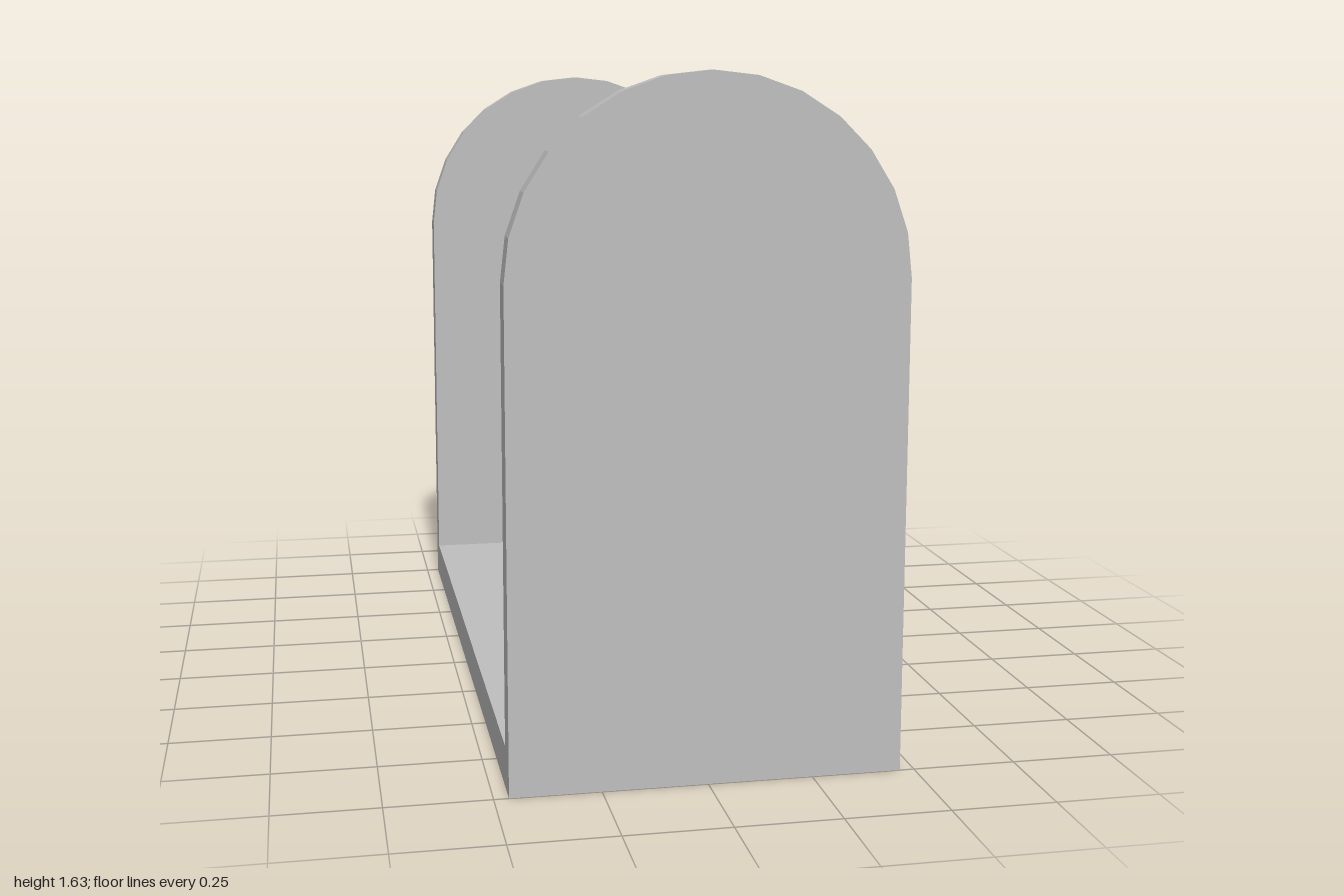
import * as THREE from 'three';

const HALF_WIDTH = 0.465;
const SPRING = 1.17; // height where the arch begins
const WALL = 0.067;
const FLOOR = 0.1;

export function createModel() {
  const group = new THREE.Group();
  group.name = 'cradle';
  const grey = new THREE.MeshStandardMaterial({ color: 0xbfbfbf, name: 'grey', flatShading: true });

  // Upright panel with a faceted semicircular top
  const outline = new THREE.Shape();
  outline.moveTo(-HALF_WIDTH, 0);
  outline.lineTo(HALF_WIDTH, 0);
  outline.lineTo(HALF_WIDTH, SPRING);
  outline.absarc(0, SPRING, HALF_WIDTH, 0, Math.PI, false);
  outline.closePath();
  const panel = new THREE.ExtrudeGeometry(outline, {
    depth: WALL, bevelEnabled: false, curveSegments: 7,
  });

  // Front and back panels, outer faces at z = 1 and z = -1
  for (const [name, z] of [['frontPanel', 1 - WALL], ['backPanel', -1]]) {
    const mesh = new THREE.Mesh(panel, grey);
    mesh.name = name;
    mesh.position.z = z;
    group.add(mesh);
  }

  // Base plate joining the inner faces of the panels
  const base = new THREE.Mesh(
    new THREE.BoxGeometry(HALF_WIDTH * 2, FLOOR, 2 - WALL * 2), grey);
  base.name = 'basePlate';
  base.position.y = FLOOR / 2;
  group.add(base);

  return group;
}
